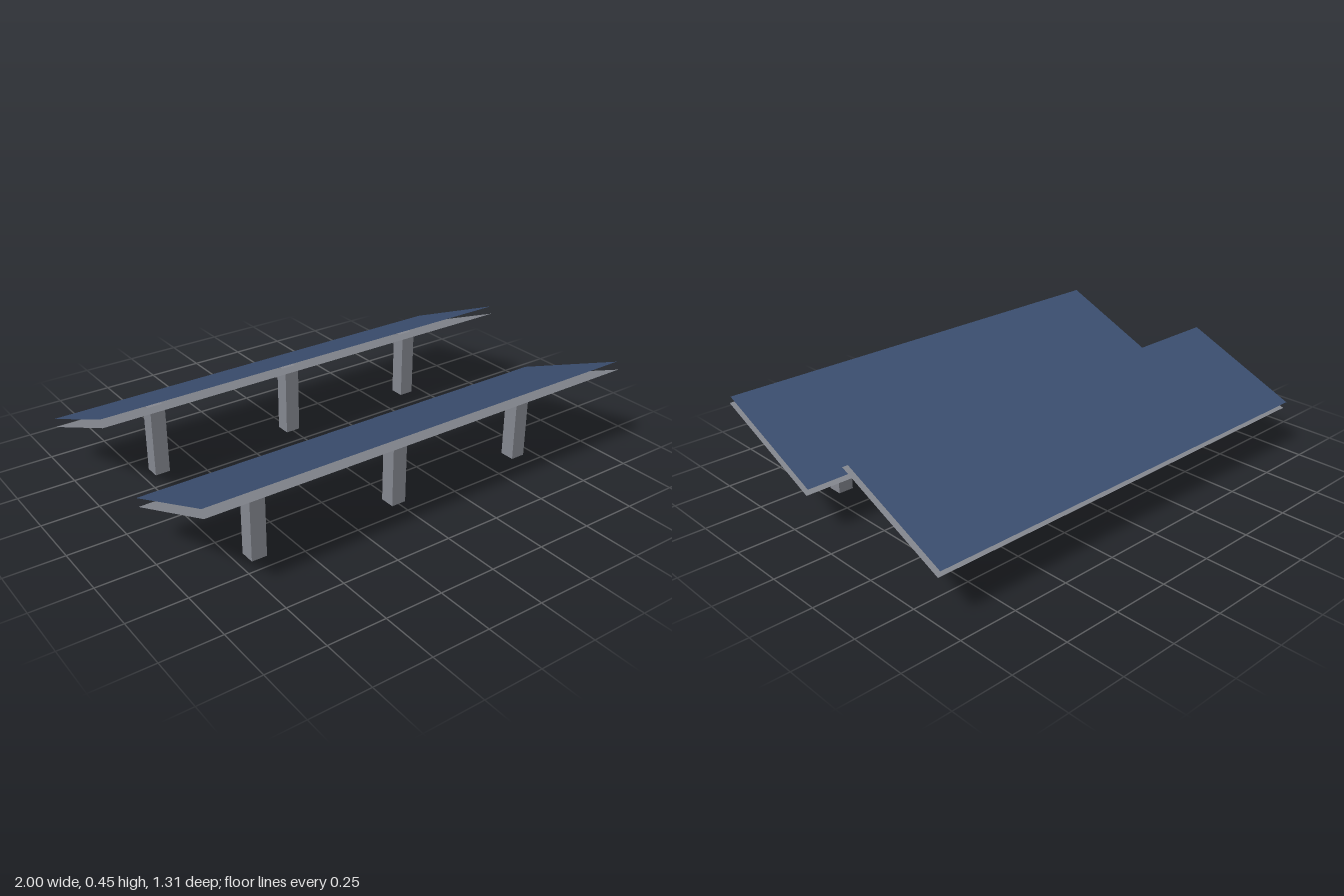
import * as THREE from 'three';

const TILT = Math.atan2(0.219, 0.52); // front edge raised
const LENGTH = 2, DEPTH = 0.564;
const POST_SIZE = 0.067, POST_HEIGHT = 0.312;

export function createModel() {
  const model = new THREE.Group();
  model.name = 'solarPanelArray';

  const panelBlue = new THREE.MeshStandardMaterial({ color: 0x3c5072, side: THREE.DoubleSide });
  panelBlue.name = 'panelBlue';
  const frameGrey = new THREE.MeshStandardMaterial({ color: 0x878a92, side: THREE.DoubleSide });
  frameGrey.name = 'frameGrey';

  // Thin sheet facing up, tilted towards the back
  const sheetGeometry = new THREE.PlaneGeometry(LENGTH, DEPTH).rotateX(-Math.PI / 2 - TILT);
  const postGeometry = new THREE.BoxGeometry(POST_SIZE, POST_HEIGHT, POST_SIZE);

  const add = (parent, name, geometry, material, x, y, z) => {
    const mesh = new THREE.Mesh(geometry, material);
    mesh.name = name;
    mesh.position.set(x, y, z);
    parent.add(mesh);
  };

  // Two identical rows, one behind the other
  [['frontRow', 0.407], ['backRow', -0.372]].forEach(([name, z]) => {
    const row = new THREE.Group();
    row.name = name;
    row.position.z = z;

    // Backing sheet with the panel sheet floating just above it
    add(row, 'backingSheet', sheetGeometry, frameGrey, 0, 0.3045, -0.01);
    add(row, 'panelSheet', sheetGeometry, panelBlue, 0, 0.3365, -0.0235);

    // Support posts
    for (const x of [-0.667, 0, 0.667]) {
      add(row, 'supportPost', postGeometry, frameGrey, x, POST_HEIGHT / 2, 0);
    }
    model.add(row);
  });

  return model;
}
